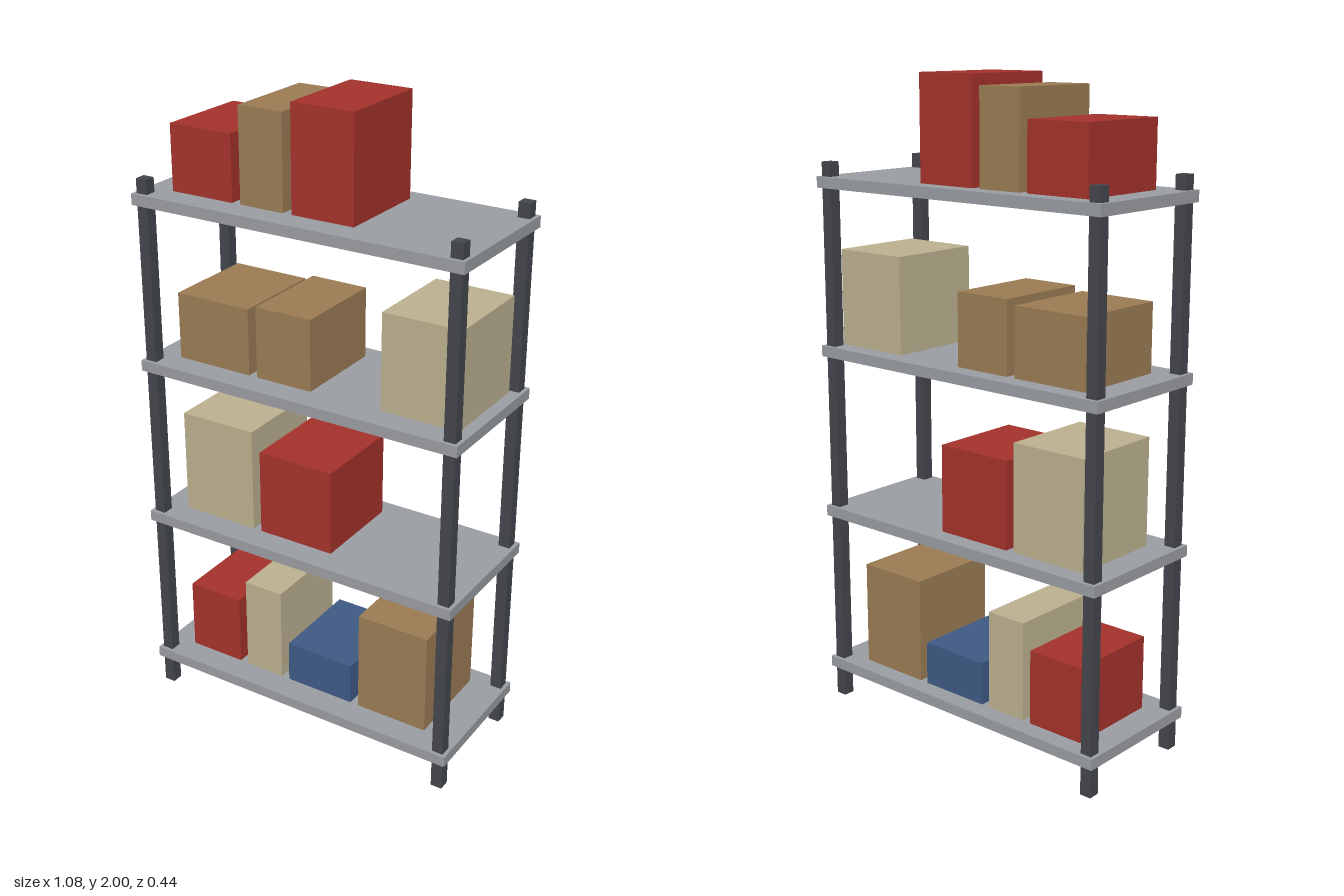
import * as THREE from 'three';

const material = (name, color) => {
  const m = new THREE.MeshStandardMaterial({ color });
  m.name = name;
  return m;
};

export function createModel() {
  const group = new THREE.Group();
  group.name = 'storageRack';

  const postMetal = material('dark post metal', 0x43464c);
  const shelfMetal = material('grey shelf metal', 0x999ca1);
  const red = material('red', 0xa4322b);
  const brown = material('cardboard brown', 0x9a7b53);
  const cream = material('cream', 0xbbb08f);
  const blue = material('blue', 0x3e5984);

  const addBox = (name, mat, w, h, d, x, bottom, z) => {
    const mesh = new THREE.Mesh(new THREE.BoxGeometry(w, h, d), mat);
    mesh.position.set(x, bottom + h / 2, z);
    mesh.name = name;
    group.add(mesh);
  };

  // Four corner posts
  for (const x of [-0.508, 0.508]) {
    for (const z of [-0.193, 0.193]) {
      addBox('post', postMetal, 0.036, 1.732, 0.036, x, 0, z);
    }
  }

  // Goods on each shelf, bottom to top: [material, left x, right x, height]
  const shelves = [
    [[red, -0.45, -0.262, 0.232], [cream, -0.234, -0.1, 0.31],
      [blue, -0.072, 0.159, 0.136], [brown, 0.187, 0.423, 0.331]],
    [[cream, -0.45, -0.196, 0.332], [red, -0.168, 0.086, 0.272]],
    [[brown, -0.45, -0.198, 0.208], [brown, -0.17, 0.017, 0.222], [cream, 0.251, 0.5, 0.297]],
    [[red, -0.45, -0.241, 0.198], [brown, -0.213, -0.069, 0.281], [red, -0.041, 0.159, 0.312]],
  ];

  // Shelf boards with their storage boxes
  const thickness = 0.034;
  shelves.forEach((goods, i) => {
    const bottom = 0.095 + i * 0.5197;
    const top = bottom + thickness;
    addBox('shelf', shelfMetal, 1.075, thickness, 0.445, 0, bottom, 0);
    for (const [mat, x0, x1, height] of goods) {
      addBox('storageBox', mat, x1 - x0, height, 0.304, (x0 + x1) / 2, top, -0.012);
    }
  });

  return group;
}
